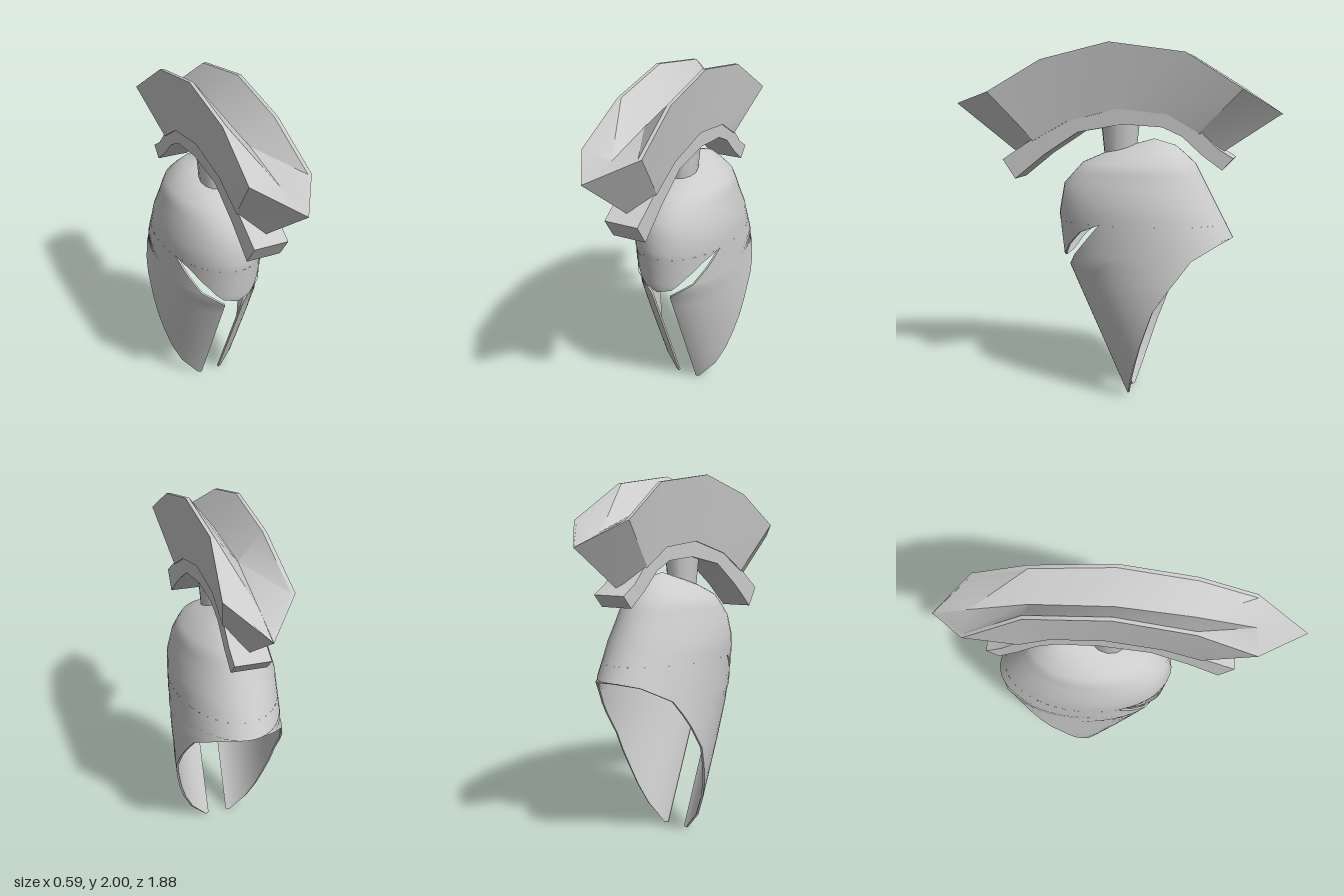
import * as THREE from 'three';
import { mergeGeometries, toCreasedNormals } from 'three/addons/utils/BufferGeometryUtils.js';

const steel = new THREE.MeshStandardMaterial({ color: 0xcccccc, side: THREE.DoubleSide });
steel.name = 'steel';

// Linear lookup in a list of [y, value] pairs
function lookup(table, y) {
  for (let i = 1; i < table.length; i++) {
    const [y0, a] = table[i - 1], [y1, b] = table[i];
    if (y <= y1) return a + (b - a) * Math.max(0, (y - y0) / (y1 - y0));
  }
  return table[table.length - 1][1];
}

// Helmet profile by height: front z, back z and half width of each oval ring
const FRONT = [[0, -0.09], [0.75, 0.25], [0.79, 0.28], [1.05, 0.31], [1.22, 0.28], [1.34, 0.17], [1.4, 0.03], [1.475, -0.24]];
const BACK = [[0, -1.16], [0.93, -0.69], [1.35, -0.47], [1.44, -0.36], [1.475, -0.24]];
const WIDTH = [[0, 0.3], [0.55, 0.3], [1, 0.285], [1.12, 0.28], [1.33, 0.22], [1.42, 0.12], [1.475, 0]];
// Openings by height: lower rim, brow edge and eye slit, as z
const RIM = [[0, -0.11], [0.33, -0.21], [0.55, -0.29], [0.68, -0.38], [0.83, -0.49], [0.91, -0.63], [0.93, -0.69]];
const BROW = [[0.79, 0.28], [0.81, 0.262], [0.88, 0.22], [0.96, 0.14], [1.01, 0.02]];
const SLIT = [[0.75, 0.25], [1.01, 0.02]];
const THICK = 0.012;

function point(t, y) {
  const f = lookup(FRONT, y), b = lookup(BACK, y);
  return new THREE.Vector3(lookup(WIDTH, y) * Math.sin(t), y, (f + b) / 2 + (f - b) / 2 * Math.cos(t));
}

function normal(t, y) {
  const yc = Math.min(y, 1.465);
  const du = point(t + 0.05, yc).sub(point(t - 0.05, yc));
  const dv = point(t, Math.min(yc + 0.03, 1.475)).sub(point(t, Math.max(0, yc - 0.03)));
  return du.cross(dv).normalize();
}

const inner = (t, y) => point(t, y).addScaledVector(normal(t, y), -THICK);

// Angle round the ring at which the shell reaches a given z
function angleAt(z, y) {
  const f = lookup(FRONT, y), b = lookup(BACK, y);
  return Math.acos(THREE.MathUtils.clamp((z - (f + b) / 2) / ((f - b) / 2), -1, 1));
}

function grid(pos, columns, rows, nor) {
  const g = new THREE.BufferGeometry(), index = [];
  for (let j = 0; j < rows - 1; j++) for (let i = 0; i < columns - 1; i++) {
    const a = j * columns + i, c = a + columns;
    index.push(a, a + 1, c, a + 1, c + 1, c);
  }
  g.setAttribute('position', new THREE.Float32BufferAttribute(pos, 3));
  g.setIndex(index);
  if (nor) g.setAttribute('normal', new THREE.Float32BufferAttribute(nor, 3));
  else g.computeVertexNormals();
  return g;
}

// Curved plate between two angles on each row, with an inside face and a rim
function plate(rows, start, end, segments, rimPath) {
  const outP = [], outN = [], inP = [], inN = [];
  for (const y of rows) for (let i = 0; i <= segments; i++) {
    const t = THREE.MathUtils.lerp(start(y), end(y), i / segments);
    const n = normal(t, y);
    outP.push(...point(t, y).toArray());
    outN.push(...n.toArray());
  }
  // The inside runs the other way round so that it faces inward
  for (const y of rows) for (let i = segments; i >= 0; i--) {
    const t = THREE.MathUtils.lerp(start(y), end(y), i / segments);
    inP.push(...inner(t, y).toArray());
    inN.push(...normal(t, y).negate().toArray());
  }
  const parts = [grid(outP, segments + 1, rows.length, outN), grid(inP, segments + 1, rows.length, inN)];
  if (rimPath) {
    const p = rimPath.flatMap(([t, y]) => [...point(t, y).toArray(), ...inner(t, y).toArray()]);
    parts.push(grid(p, 2, rimPath.length));
  }
  return mergeGeometries(parts);
}

function add(group, name, geometry) {
  const mesh = new THREE.Mesh(geometry, steel);
  mesh.name = name;
  group.add(mesh);
  return mesh;
}

function makeCrest() {
  // Each station: rim z, y, half width, groove y, then base z, y, half width
  const stations = [
    [0.945, 1.67, 0, 1.67, 0.57, 1.385, 0],
    [0.69, 1.735, 0.165, 1.7, 0.44, 1.46, 0.1],
    [0.38, 1.91, 0.15, 1.78, 0.24, 1.57, 0.1],
    [-0.01, 2, 0.145, 1.84, -0.05, 1.64, 0.1],
    [-0.43, 1.94, 0.14, 1.8, -0.33, 1.61, 0.1],
    [-0.74, 1.745, 0.175, 1.69, -0.5, 1.51, 0.1],
    [-0.94, 1.615, 0, 1.61, -0.62, 1.4, 0],
  ];
  const pos = [];
  for (const [z, y, x, floor, bz, by, bx] of stations) {
    const xi = Math.max(0, x - 0.02);
    pos.push(0, floor, z, xi, y, z, x, y, z, bx, by, bz, 0, by, bz, -bx, by, bz, -x, y, z, -xi, y, z, 0, floor, z);
  }
  return toCreasedNormals(grid(pos, 9, stations.length), 0.5);
}

function makeHolder() {
  // Curved bar under the crest, drawn from the side as z, y
  const outline = [
    [0.63, 1.35], [0.4, 1.5], [0.2, 1.61], [-0.08, 1.665], [-0.33, 1.64], [-0.49, 1.54], [-0.6, 1.43], [-0.69, 1.375],
    [-0.63, 1.31], [-0.52, 1.39], [-0.41, 1.49], [-0.3, 1.54], [-0.08, 1.555], [0.18, 1.51], [0.38, 1.38], [0.555, 1.24],
  ];
  const shape = new THREE.Shape(outline.map(([z, y]) => new THREE.Vector2(z, y)));
  const g = new THREE.ExtrudeGeometry(shape, { depth: 0.19, bevelEnabled: false });
  g.rotateY(-Math.PI / 2).translate(0.095, 0, 0);
  return toCreasedNormals(g, 0.7);
}

export function createModel() {
  const group = new THREE.Group();
  group.name = 'crestedHelmet';

  // Dome
  const domeRows = [1.01, 1.05, 1.12, 1.22, 1.28, 1.34, 1.4, 1.44, 1.46, 1.475];
  add(group, 'dome', plate(domeRows, () => 0, () => Math.PI * 2, 40));

  // Pointed brow above the eye slits
  const browRows = [0.79, 0.81, 0.845, 0.88, 0.92, 0.96, 1.01];
  const browEnd = (y) => angleAt(lookup(BROW, y), y);
  const browRim = [...browRows.map((y) => [-browEnd(y), y]).reverse(), ...browRows.map((y) => [browEnd(y), y])];
  add(group, 'brow', plate(browRows, (y) => -browEnd(y), browEnd, 20, browRim));

  // Cheek guards, running round to meet at the back of the neck
  const cheekRows = [0, 0.11, 0.22, 0.33, 0.44, 0.55, 0.68, 0.75, 0.83, 0.91, 0.93, 0.97, 1.01];
  const cheekStart = (y) => {
    const gap = Math.asin(0.06 / lookup(WIDTH, y));
    return y <= 0.75 ? gap : Math.max(gap, angleAt(lookup(SLIT, y), y));
  };
  const cheekEnd = (y) => (y >= 0.93 ? Math.PI : Math.max(cheekStart(y), angleAt(lookup(RIM, y), y)));
  const cheekRim = [
    ...cheekRows.filter((y) => y <= 0.93).map((y) => [cheekEnd(y), y]).reverse(),
    ...cheekRows.map((y) => [cheekStart(y), y]),
  ];
  const cheek = plate(cheekRows, cheekStart, cheekEnd, 16, cheekRim);
  add(group, 'leftCheekGuard', cheek);
  add(group, 'rightCheekGuard', cheek).scale.x = -1;

  // Post, curved holder and crest
  const post = add(group, 'crestPost', new THREE.CylinderGeometry(0.115, 0.09, 0.24, 12));
  post.scale.x = 0.8;
  post.position.set(0, 1.48, -0.045);
  add(group, 'crestHolder', makeHolder());
  add(group, 'crest', makeCrest());
  return group;
}
